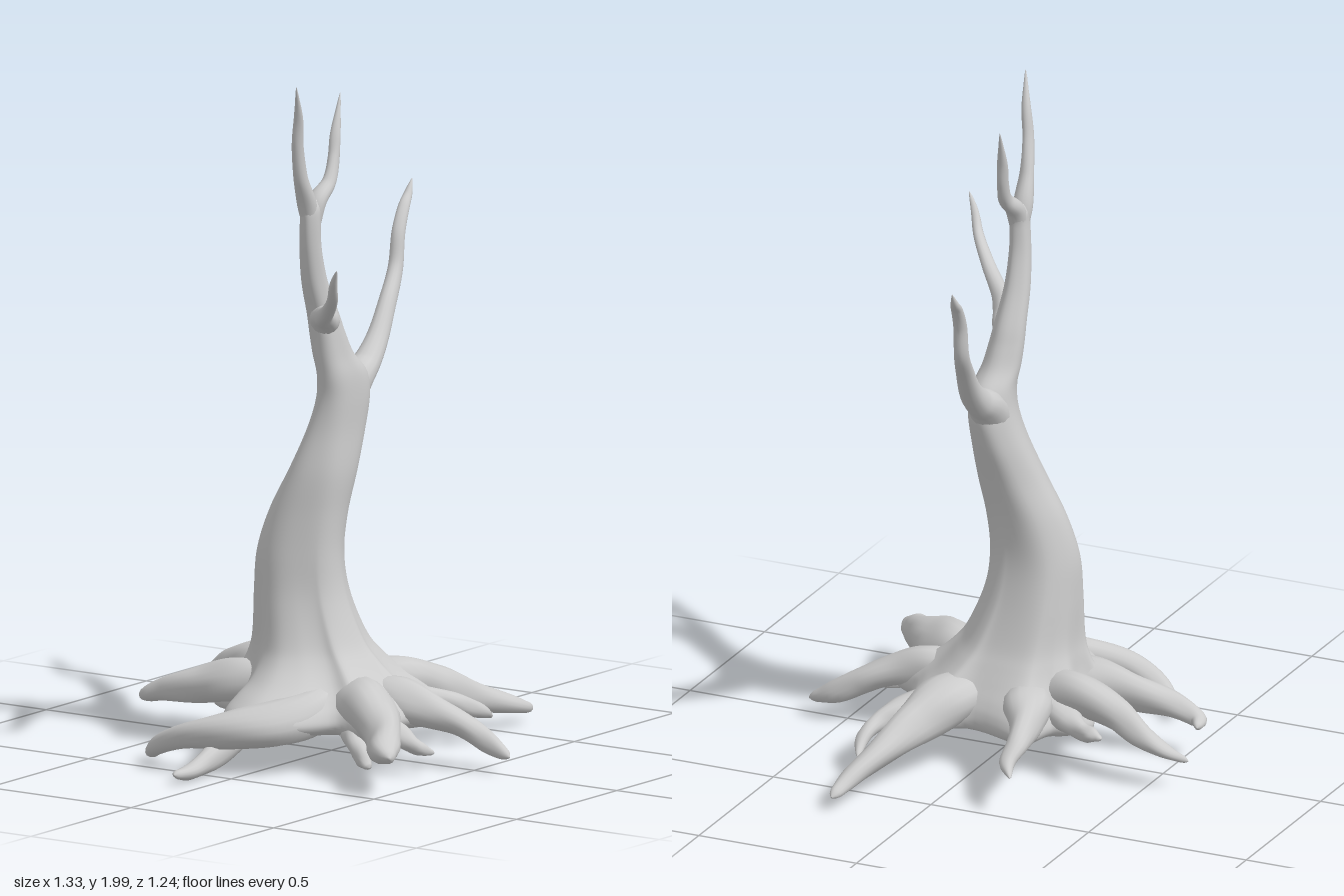
import * as THREE from 'three';

const bark = new THREE.MeshStandardMaterial({ color: 0xcccccc });

// Joins closed rings of points into a smooth skin, capped at both ends
function skin(name, rings, start, end) {
  const n = rings[0].length, pos = [], idx = [];
  rings.flat().forEach(p => pos.push(p.x, p.y, p.z));
  const a = pos.length / 3, b = a + 1, last = (rings.length - 1) * n;
  pos.push(start.x, start.y, start.z, end.x, end.y, end.z);
  for (let j = 0; j < n; j++) {
    const k = (j + 1) % n;
    for (let i = 0; i < rings.length - 1; i++) {
      const p = i * n, q = p + n;
      idx.push(p + j, p + k, q + j, p + k, q + k, q + j);
    }
    idx.push(a, k, j, b, last + j, last + k);
  }
  const geo = new THREE.BufferGeometry();
  geo.setAttribute('position', new THREE.Float32BufferAttribute(pos, 3));
  geo.setIndex(idx);
  geo.computeVertexNormals();
  const mesh = new THREE.Mesh(geo, bark);
  mesh.name = name;
  return mesh;
}

// Smooth interpolation through a list of numbers, t in 0..1
function sample(list, t) {
  const f = t * (list.length - 1), i = Math.min(Math.floor(f), list.length - 2), u = f - i;
  const at = k => list[Math.max(0, Math.min(list.length - 1, k))];
  const p0 = at(i - 1), p1 = at(i), p2 = at(i + 1), p3 = at(i + 2);
  return p1 + 0.5 * u * (p2 - p0 + u * (2 * p0 - 5 * p1 + 4 * p2 - p3 + u * (3 * (p1 - p2) + p3 - p0)));
}

// Tapered, slightly gnarled limb; each point is [x, y, z, radius]
function limb(name, pts, gnarl = 0.06) {
  const curve = new THREE.CatmullRomCurve3(pts.map(p => new THREE.Vector3(p[0], p[1], p[2])));
  const steps = pts.length * 8, sides = 16, rings = [];
  const radii = pts.map(p => p[3]);
  let normal = new THREE.Vector3(0, 0, 1);
  for (let i = 0; i <= steps; i++) {
    const t = i / steps, c = curve.getPoint(t), tan = curve.getTangent(t);
    normal = normal.clone().addScaledVector(tan, -normal.dot(tan)).normalize();
    const side = new THREE.Vector3().crossVectors(tan, normal);
    const tip = t > 0.94 ? Math.sqrt(Math.max(0.05, 1 - ((t - 0.94) / 0.06) ** 2)) : 1;
    const r = Math.max(0.003, sample(radii, t)) * tip;
    rings.push(Array.from({ length: sides }, (_, j) => {
      const a = j / sides * Math.PI * 2;
      const k = r * (1 + gnarl * Math.sin(2 * a + t * 9) + gnarl * 0.6 * Math.sin(3 * a - t * 14));
      return c.clone().addScaledVector(normal, Math.cos(a) * k).addScaledVector(side, Math.sin(a) * k);
    }));
  }
  return skin(name, rings, curve.getPoint(0), curve.getPoint(1));
}

// Trunk stations: [y, centre x, centre z, half width x, half width z, spread towards root outline]
const stations = [
  [0.115, -0.04, 0.01, 0.15, 0.17, 0.55], [0.125, -0.04, 0.01, 0.16, 0.18, 0.86], [0.15, -0.04, 0.005, 0.17, 0.19, 1],
  [0.18, -0.04, 0, 0.17, 0.19, 0.92], [0.21, -0.04, -0.005, 0.165, 0.185, 0.72], [0.25, -0.04, -0.015, 0.16, 0.178, 0.42],
  [0.3, -0.043, -0.028, 0.15, 0.17, 0.2], [0.36, -0.05, -0.042, 0.136, 0.155, 0.1], [0.48, -0.058, -0.062, 0.117, 0.14, 0.035],
  [0.6, -0.063, -0.065, 0.104, 0.132, 0.01], [0.72, -0.053, -0.045, 0.098, 0.119, 0],
  [0.84, -0.033, -0.01, 0.096, 0.099, 0], [0.96, -0.002, 0.015, 0.094, 0.078, 0],
  [1.05, 0.012, 0.03, 0.094, 0.067, 0], [1.12, 0.005, 0.032, 0.09, 0.061, 0],
  [1.18, -0.024, 0.022, 0.066, 0.055, 0], [1.24, -0.041, 0.015, 0.054, 0.051, 0],
  [1.3, -0.056, 0.01, 0.047, 0.046, 0], [1.4, -0.09, 0.005, 0.038, 0.038, 0], [1.5, -0.112, 0.007, 0.032, 0.032, 0],
  [1.58, -0.117, 0.01, 0.033, 0.029, 0], [1.62, -0.113, 0.01, 0.036, 0.027, 0], [1.645, -0.108, 0.01, 0.022, 0.016, 0],
];

// Outline (x, z) of the webbed base: out along each root, in at each hollow
const baseOutline = [
  [0.19, 0.04], [0.25, -0.18], [0.15, -0.215], [0.13, -0.255], [0.07, -0.31], [-0.05, -0.25], [-0.13, -0.33],
  [-0.2, -0.175], [-0.36, -0.13], [-0.45, 0], [-0.39, 0.12], [-0.28, 0.21], [-0.3, 0.345],
  [-0.1, 0.32], [-0.02, 0.36], [0.035, 0.28], [0.15, 0.235], [0.235, 0.195], [0.28, 0.15],
];

function trunk() {
  const outline = new THREE.CatmullRomCurve3(baseOutline.map(([x, z]) => new THREE.Vector3(x, 0, z)), true);
  const rings = [], steps = 120, sides = 114;
  for (let i = 0; i <= steps; i++) {
    const [y, cx, cz, rx, rz, spread] = [0, 1, 2, 3, 4, 5].map(k => sample(stations.map(s => s[k]), i / steps));
    rings.push(Array.from({ length: sides }, (_, j) => {
      const edge = outline.getPoint(j / sides);
      const a = Math.atan2(edge.z, edge.x + 0.04);
      const twist = 1 + 0.025 * Math.sin(3 * a + y * 5) + 0.02 * Math.sin(5 * a - y * 4);
      const p = new THREE.Vector3(cx + Math.cos(a) * rx * twist, y, cz + Math.sin(a) * rz * twist);
      edge.y = y;
      return p.lerp(edge, Math.max(0, spread));
    }));
  }
  return skin('trunk', rings, new THREE.Vector3(-0.04, 0.11, 0.01), new THREE.Vector3(-0.108, 1.648, 0.01));
}

const branches = {
  rightForkBranch: [[0.01, 0.93, 0.015, 0.03], [0.035, 1.03, 0.022, 0.052], [0.085, 1.09, 0.025, 0.053], [0.14, 1.122, 0.022, 0.043],
    [0.21, 1.18, 0.01, 0.035], [0.29, 1.27, -0.01, 0.028], [0.37, 1.36, -0.035, 0.022], [0.4, 1.46, -0.045, 0.019],
    [0.44, 1.525, -0.055, 0.016], [0.47, 1.555, -0.062, 0.012], [0.495, 1.595, -0.065, 0.004]],
  leftBranch: [[-0.05, 1.25, 0.01, 0.03], [-0.075, 1.285, 0.03, 0.042], [-0.12, 1.304, 0.06, 0.034], [-0.18, 1.322, 0.1, 0.027],
    [-0.27, 1.365, 0.18, 0.021], [-0.35, 1.42, 0.25, 0.015], [-0.39, 1.47, 0.28, 0.011], [-0.415, 1.52, 0.31, 0.004]],
  leftCrownBranch: [[-0.115, 1.55, 0.01, 0.022], [-0.135, 1.64, 0.008, 0.028], [-0.172, 1.72, 0.012, 0.022],
    [-0.2, 1.81, 0.022, 0.017], [-0.215, 1.9, 0.035, 0.013], [-0.253, 2.0, 0.055, 0.003]],
  rightCrownBranch: [[-0.118, 1.55, 0.01, 0.022], [-0.092, 1.632, 0.013, 0.028], [-0.035, 1.682, 0.015, 0.022],
    [0, 1.75, 0.008, 0.017], [0.02, 1.82, 0, 0.014], [0.058, 1.925, -0.01, 0.003]],
};

const roots = {
  leftLowRoot: [[-0.15, 0.18, -0.07, 0.05], [-0.26, 0.14, -0.105, 0.055], [-0.37, 0.085, -0.105, 0.044],
    [-0.5, 0.05, -0.09, 0.032], [-0.59, 0.035, -0.085, 0.024], [-0.665, 0.04, -0.085, 0.012]],
  curledRoot: [[-0.14, 0.2, 0.08, 0.06], [-0.26, 0.175, 0.1, 0.07], [-0.36, 0.155, 0.06, 0.065], [-0.44, 0.14, -0.04, 0.052],
    [-0.482, 0.115, -0.17, 0.035], [-0.462, 0.07, -0.28, 0.028], [-0.42, 0.04, -0.33, 0.019], [-0.365, 0.03, -0.34, 0.007]],
  backLeftRoot: [[-0.09, 0.21, -0.1, 0.06], [-0.125, 0.21, -0.23, 0.068], [-0.135, 0.185, -0.36, 0.052],
    [-0.15, 0.16, -0.47, 0.034], [-0.14, 0.135, -0.545, 0.024], [-0.1, 0.125, -0.56, 0.01]],
  backRoot: [[0.01, 0.22, -0.12, 0.06], [0.05, 0.235, -0.26, 0.065], [0.08, 0.205, -0.39, 0.047],
    [0.1, 0.16, -0.48, 0.032], [0.098, 0.125, -0.55, 0.022], [0.085, 0.1, -0.62, 0.01]],
  backSpur: [[0.06, 0.19, -0.16, 0.05], [0.12, 0.175, -0.26, 0.04], [0.155, 0.165, -0.32, 0.026], [0.18, 0.17, -0.36, 0.02], [0.195, 0.17, -0.395, 0.008]],
  backRightRoot: [[0.03, 0.2, -0.08, 0.06], [0.16, 0.21, -0.145, 0.066], [0.26, 0.2, -0.185, 0.047],
    [0.36, 0.175, -0.205, 0.034], [0.43, 0.15, -0.21, 0.022], [0.49, 0.13, -0.245, 0.006]],
  rightRoot: [[0.04, 0.2, 0.05, 0.06], [0.18, 0.2, 0.1, 0.078], [0.3, 0.165, 0.145, 0.06],
    [0.43, 0.12, 0.185, 0.043], [0.56, 0.08, 0.225, 0.03], [0.66, 0.05, 0.24, 0.015]],
  rightSpur: [[0.1, 0.17, 0.16, 0.05], [0.2, 0.15, 0.24, 0.038], [0.26, 0.13, 0.28, 0.026], [0.33, 0.105, 0.295, 0.021], [0.4, 0.075, 0.28, 0.007]],
  frontRoot: [[-0.04, 0.2, 0.12, 0.05], [-0.04, 0.195, 0.25, 0.064], [-0.025, 0.175, 0.36, 0.05],
    [0.005, 0.14, 0.45, 0.039], [0.02, 0.095, 0.53, 0.031], [0.012, 0.06, 0.615, 0.014]],
  frontLeftRoot: [[-0.08, 0.2, 0.1, 0.06], [-0.18, 0.2, 0.24, 0.08], [-0.26, 0.18, 0.34, 0.072],
    [-0.35, 0.155, 0.43, 0.053], [-0.43, 0.14, 0.485, 0.042], [-0.48, 0.13, 0.54, 0.018]],
  frontSpur: [[-0.16, 0.15, 0.28, 0.035], [-0.17, 0.12, 0.37, 0.03], [-0.15, 0.09, 0.41, 0.022], [-0.12, 0.075, 0.445, 0.006]],
  leftSpur: [[-0.22, 0.15, 0.22, 0.035], [-0.28, 0.11, 0.29, 0.033], [-0.31, 0.075, 0.33, 0.024], [-0.325, 0.055, 0.36, 0.01]],
};

export function createModel() {
  const model = new THREE.Group();
  model.name = 'bareTree';
  model.add(trunk());
  for (const [name, pts] of Object.entries(branches)) model.add(limb(name, pts));
  for (const [name, pts] of Object.entries(roots)) model.add(limb(name, pts, 0.08));
  return model;
}
